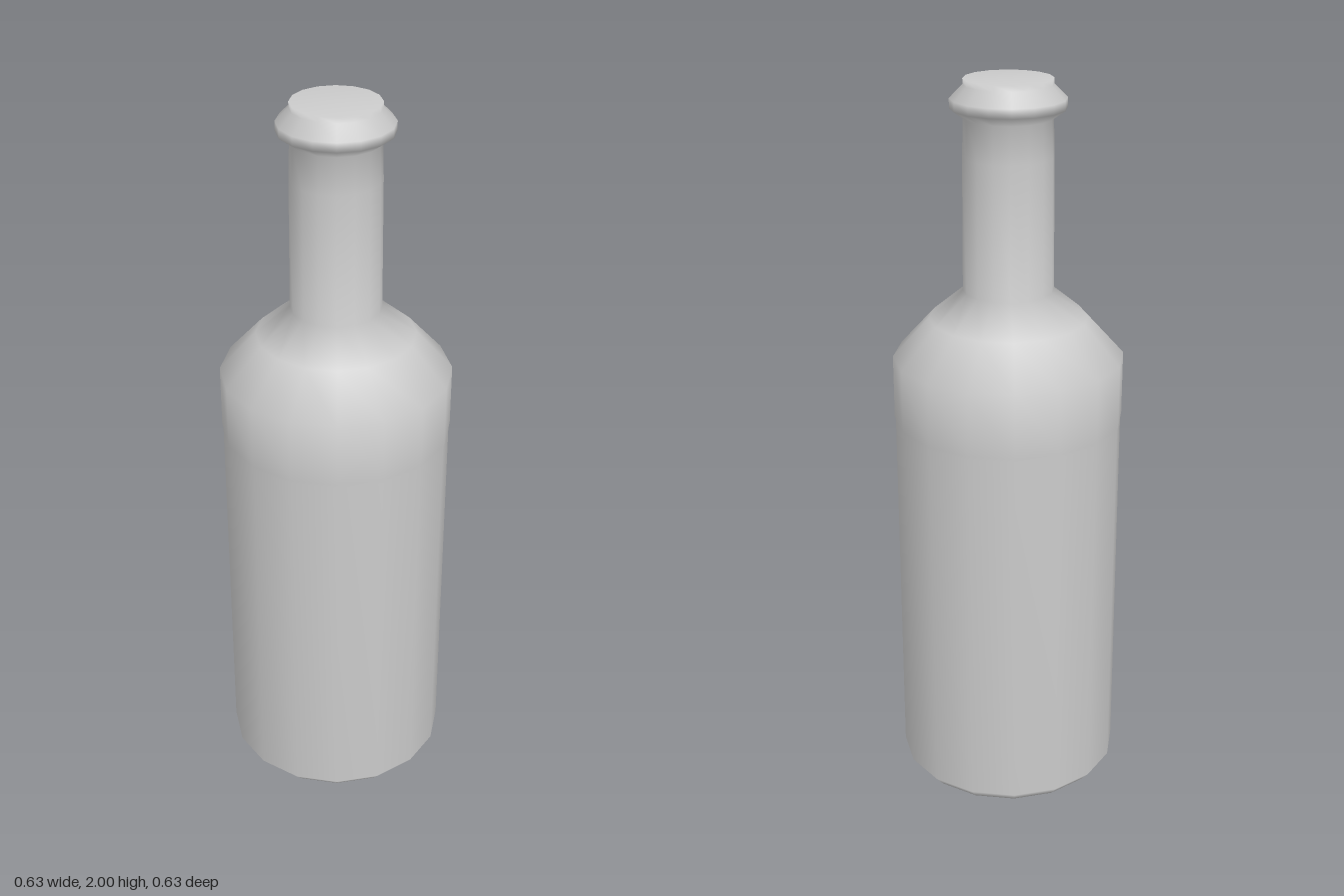
import * as THREE from 'three';

const SIDES = 16;

export function createModel() {
  const group = new THREE.Group();
  group.name = 'bottle';
  const material = new THREE.MeshStandardMaterial({ color: 0xcccccc });

  // Revolve a closed [radius, height] profile, listed from bottom to top
  const profile = [
    // base with a small bevel
    [0, 0.005], [0.285, 0.006], [0.311, 0.03],
    // straight body, a touch wider below the shoulder
    [0.311, 1.07], [0.314, 1.08], [0.314, 1.255],
    // shoulder
    [0.215, 1.364], [0.122, 1.441],
    // neck
    [0.12, 1.8], [0.117, 1.9],
    // lip ring and flat top
    [0.152, 1.925], [0.152, 1.95], [0.117, 1.985], [0.117, 2.0], [0, 2.0],
  ].map(([r, y]) => new THREE.Vector2(r, y));
  profile[0].y = profile[1].y = 0;

  const bottle = new THREE.Mesh(new THREE.LatheGeometry(profile, SIDES), material);
  bottle.name = 'bottleBody';
  group.add(bottle);
  return group;
}
